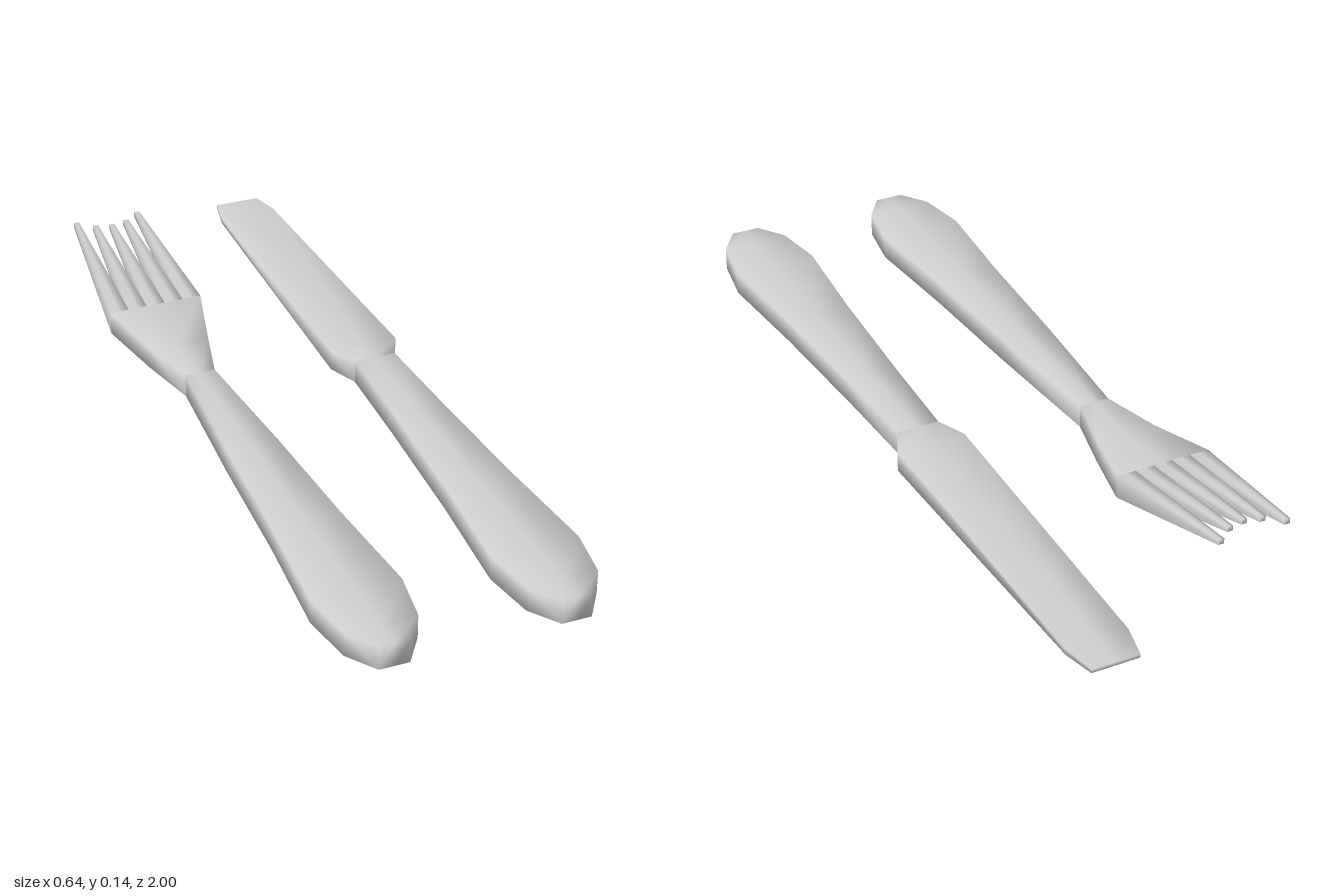
import * as THREE from 'three';

const material = new THREE.MeshStandardMaterial({ color: 0xcccccc });

// Loft of flat six-point sections [z, centreX, halfWidth, yBottom, yTop], running from front to back
function loft(name, sections, capFront, capBack) {
  const pos = [], idx = [];
  for (const [z, cx, w, y0, y1] of sections) {
    pos.push(cx - w, y0, z, cx, y0, z, cx + w, y0, z, cx + w, y1, z, cx, y1, z, cx - w, y1, z);
  }
  for (let s = 0; s < sections.length - 1; s++) {
    for (let j = 0; j < 6; j++) {
      const a = s * 6 + j, b = s * 6 + (j + 1) % 6, c = a + 6, d = b + 6;
      idx.push(a, c, b, b, c, d);
    }
  }
  const cap = [0, 1, 4, 0, 4, 5, 1, 2, 3, 1, 3, 4];
  const last = (sections.length - 1) * 6;
  if (capFront) idx.push(...cap);
  if (capBack) idx.push(...cap.map(i => i + last).reverse());
  const geo = new THREE.BufferGeometry();
  geo.setAttribute('position', new THREE.Float32BufferAttribute(pos, 3));
  geo.setIndex(idx);
  geo.computeVertexNormals();
  const mesh = new THREE.Mesh(geo, material);
  mesh.name = name;
  return mesh;
}

// Handle outline shared by both pieces, ending in a neck
function handle(name, neckZ, neckHalfWidth) {
  const outline = [[1, 0.035], [0.93, 0.083], [0.8, 0.104], [0.52, 0.081], [0.2, 0.063], [neckZ, neckHalfWidth]];
  return loft(name, outline.map(([z, w]) => [z, 0, w, 0, 0.058]), true, false);
}

export function createModel() {
  const model = new THREE.Group();

  // Fork: handle, flaring head and five rising tines
  const fork = new THREE.Group();
  fork.name = 'fork';
  fork.position.x = -0.201;
  fork.add(handle('forkHandle', -0.15, 0.037));
  fork.add(loft('forkHead', [
    [-0.15, 0, 0.037, 0, 0.058],
    [-0.3, 0, 0.075, 0.004, 0.059],
    [-0.47, 0, 0.118, 0.02, 0.078],
  ], false, true));
  const tipZ = [-0.81, -0.82, -0.852];
  for (let i = -2; i <= 2; i++) {
    fork.add(loft('tine', [
      [-0.47, i * 0.0472, 0.0236, 0.02, 0.078],
      [tipZ[Math.abs(i)], i * 0.041, 0.007, 0.125, 0.138],
    ], false, true));
  }

  // Knife: handle and a blade thinning to a blunt tip
  const knife = new THREE.Group();
  knife.name = 'knife';
  knife.position.x = 0.2145;
  knife.add(handle('knifeHandle', -0.06, 0.052));
  knife.add(loft('blade', [
    [-0.06, 0, 0.052, 0, 0.058],
    [-0.13, 0, 0.085, 0.004, 0.055],
    [-0.92, 0, 0.074, 0.022, 0.037],
    [-1, 0, 0.057, 0.025, 0.034],
  ], false, true));

  model.add(fork, knife);
  return model;
}
